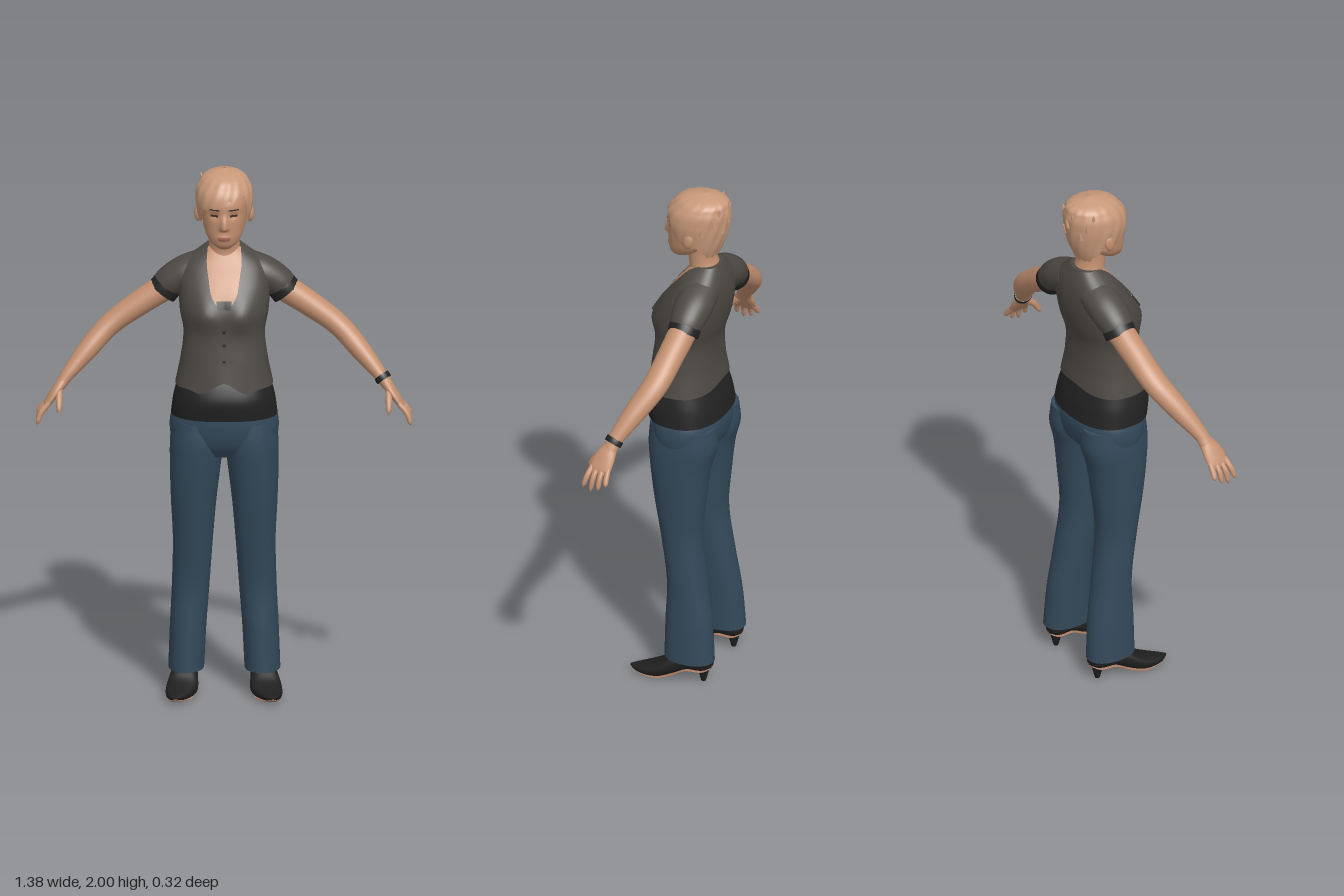
import * as THREE from 'three';

const mat = (name, color) => Object.assign(new THREE.MeshStandardMaterial({ color, side: THREE.DoubleSide }), { name });
const M = {
  skin: mat('skin', 0xc39070), hair: mat('hair', 0xc8997a), vest: mat('vest grey', 0x4d4944),
  black: mat('black cloth', 0x222222), jeans: mat('denim', 0x34495a), shoe: mat('shoe leather', 0x1f1f20),
  sole: mat('sole', 0xa97c60), lips: mat('lips', 0xa8685a), eye: mat('eyes', 0x40302a),
};
const gauss = (d, s) => Math.exp(-(d * d) / (s * s));
const sstep = THREE.MathUtils.smoothstep, lerp = THREE.MathUtils.lerp;

// Smooth interpolation of rows [key, ...values]
function table(rows) {
  const n = rows[0].length - 1;
  const it = new THREE.CubicInterpolant(rows.map(r => r[0]), rows.flatMap(r => r.slice(1)), n, new Array(n));
  return k => Array.from(it.evaluate(k));
}

// Grid of points fn(row, col); closed joins the last column to the first
function grid(rows, cols, closed, fn) {
  const pos = [], idx = [], span = closed ? cols : cols - 1;
  for (let i = 0; i < rows; i++) for (let j = 0; j < cols; j++) pos.push(...fn(i, j).toArray());
  for (let i = 0; i < rows - 1; i++) for (let j = 0; j < span; j++) {
    const a = i * cols + j, d = i * cols + (j + 1) % cols;
    idx.push(a, a + cols, d, a + cols, d + cols, d);
  }
  const g = new THREE.BufferGeometry();
  g.setAttribute('position', new THREE.Float32BufferAttribute(pos, 3));
  g.setIndex(idx);
  g.computeVertexNormals();
  return g;
}

// Body surface from rows [y, centreX, halfWidth, zFront, zBack], with optional front relief
function surface(rows, p = 1, bump = () => 0) {
  const t = table(rows), pw = v => Math.sign(v) * Math.abs(v) ** p;
  return {
    centre(y) { const [x, , f, b] = t(y); return new THREE.Vector3(x, y, (f + b) / 2); },
    at(a, y) {
      const [cx, w, f, b] = t(y), c = Math.cos(a), s = Math.sin(a), x = w * pw(c);
      return new THREE.Vector3(cx + x, y, (f + b) / 2 + (f - b) / 2 * pw(s) + (s > 0 ? s * bump(x, y) : 0));
    },
    front(x, y, off) {
      const w = t(y)[1], u = THREE.MathUtils.clamp(x / w, -0.98, 0.98);
      const v = this.at(Math.acos(Math.sign(u) * Math.abs(u) ** (1 / p)), y);
      v.z += off; v.x *= 1 + off;
      return v;
    },
  };
}

// Capped loft of a surface; doubled end rings keep the caps crisp
function loft(s, y0, y1, rows, cols, warp = v => v) {
  return grid(rows + 4, cols, true, (i, j) => {
    const k = THREE.MathUtils.clamp(i - 2, 0, rows - 1), y = lerp(y0, y1, k / (rows - 1));
    return warp(i === 0 || i === rows + 3 ? s.centre(y) : s.at(j / cols * Math.PI * 2, y));
  });
}

// Thin facing laid on the front of a surface between two x limits
const patch = (s, y0, y1, xa, xb, off, rows = 24, cols = 16) => grid(rows, cols, false, (i, j) => {
  const y = lerp(y0, y1, i / (rows - 1));
  return s.front(lerp(xb(y), xa(y), j / (cols - 1)), y, off);
});

// Tube through rows [x, y, z, radiusAcross, radiusZ], with flat or rounded end
function sweep(rows, n = 24, cols = 20, round = false) {
  const curve = new THREE.CatmullRomCurve3(rows.map(r => new THREE.Vector3(r[0], r[1], r[2])));
  const rad = table(rows.map((r, i) => [i / (rows.length - 1), r[3], r[4]])), Z = new THREE.Vector3(0, 0, 1);
  return grid(n + 4, cols, true, (i, j) => {
    const k = THREE.MathUtils.clamp(i - 2, 0, n - 1) / (n - 1), P = curve.getPoint(k);
    if (i === 0 || i === n + 3) return P;
    const T = curve.getTangent(k), B = T.clone().cross(Z).normalize(), N = B.clone().cross(T);
    const f = round ? Math.sqrt(Math.max(0.04, 1 - Math.max(0, (k - 0.8) / 0.2) ** 2)) : 1;
    const [ra, rz] = rad(k), a = j / cols * Math.PI * 2;
    return P.addScaledVector(B, ra * f * Math.cos(a)).addScaledVector(N, rz * f * Math.sin(a));
  });
}

function mirror(geo) {
  const g = geo.clone().scale(-1, 1, 1), ix = g.index.array;
  for (let i = 0; i < ix.length; i += 3) [ix[i], ix[i + 1]] = [ix[i + 1], ix[i]];
  return g;
}

export function createModel() {
  const root = new THREE.Group();
  const add = (name, geo, m) => {
    const mesh = new THREE.Mesh(geo, m);
    mesh.name = name;
    root.add(mesh);
    return mesh;
  };
  const pair = (name, geo, m) => { add(name + 'Left', geo, m); add(name + 'Right', mirror(geo), m); };

  // Waistcoat with a wavy hem
  const torso = surface([
    [1.2, 0, 0.18, 0.146, -0.122], [1.3, 0, 0.16, 0.134, -0.11], [1.4, 0, 0.15, 0.122, -0.112],
    [1.48, 0, 0.164, 0.118, -0.134], [1.55, 0, 0.166, 0.095, -0.146], [1.6, 0, 0.162, 0.062, -0.147],
    [1.65, 0, 0.142, 0.022, -0.141], [1.69, 0, 0.09, -0.008, -0.128], [1.712, 0, 0.06, -0.025, -0.118],
  ], 0.85, (x, y) => 0.02 * gauss(Math.abs(x) - 0.072, 0.05) * gauss(y - 1.475, 0.055));
  add('waistcoat', loft(torso, 1.2, 1.712, 60, 72, v => {
    const wave = v.z > 0 ? 0.03 * gauss(v.x, 0.04) - 0.014 * gauss(Math.abs(v.x) - 0.085, 0.03) : 0.018 * gauss(v.x, 0.09);
    v.y += wave * Math.max(0, (1.3 - v.y) / 0.1);
    return v;
  }), M.vest);

  // Neckline, top trim, lapels and buttons
  const neckT = table([[1.44, 0.002], [1.515, 0.026], [1.55, 0.046], [1.6, 0.056], [1.66, 0.064], [1.705, 0.06]]);
  const lapT = table([[1.44, 0.006], [1.5, 0.066], [1.58, 0.094], [1.66, 0.102], [1.705, 0.076]]);
  const neckline = y => neckT(y)[0], lapel = y => lapT(y)[0];
  add('chest', patch(torso, 1.515, 1.705, y => -neckline(y), neckline, 0.004), M.skin);
  add('topTrim', patch(torso, 1.505, 1.535, () => -0.027, () => 0.027, 0.006, 6), M.black);
  pair('lapel', patch(torso, 1.44, 1.705, neckline, lapel, 0.007), M.vest);
  for (const y of [1.31, 1.37, 1.42]) {
    add('button', patch(torso, y - 0.005, y + 0.005, () => -0.005, () => 0.005, 0.004, 3, 3), M.black);
  }

  // Undershirt below the waistcoat
  add('undershirt', loft(surface([
    [1.08, 0, 0.196, 0.142, -0.144], [1.15, 0, 0.187, 0.152, -0.132], [1.2, 0, 0.174, 0.14, -0.116], [1.27, 0, 0.15, 0.11, -0.095],
  ], 0.85), 1.082, 1.27, 14, 64), M.black);

  // Jeans
  add('jeansHips', loft(surface([
    [0.93, 0, 0.13, 0.085, -0.09], [0.97, 0, 0.185, 0.11, -0.125], [1.02, 0, 0.2, 0.124, -0.138],
    [1.07, 0, 0.197, 0.128, -0.138], [1.12, 0, 0.18, 0.125, -0.12],
  ], 0.85), 0.93, 1.12, 16, 64), M.jeans);
  pair('jeansLeg', loft(surface([
    [0.09, 0.14, 0.066, 0.042, -0.15], [0.25, 0.133, 0.067, 0.04, -0.138], [0.4, 0.124, 0.069, 0.037, -0.114],
    [0.6, 0.115, 0.074, 0.066, -0.09], [0.75, 0.112, 0.084, 0.092, -0.102], [0.9, 0.105, 0.095, 0.113, -0.122],
    [0.98, 0.1, 0.099, 0.12, -0.143], [1.06, 0.098, 0.092, 0.115, -0.138],
  ], 0.92), 0.09, 1.06, 50, 40), M.jeans);

  // Heeled shoes, lofted from heel to toe: [z, centreX, halfWidth, top, bottom]
  const shoe = [
    [-0.14, 0.134, 0.02, 0.095, 0.062], [-0.12, 0.136, 0.038, 0.11, 0.052], [-0.05, 0.142, 0.046, 0.115, 0.046],
    [0, 0.148, 0.052, 0.1, 0.022], [0.05, 0.155, 0.058, 0.066, 0.005], [0.1, 0.167, 0.046, 0.046, 0.005],
    [0.14, 0.176, 0.026, 0.036, 0.013], [0.165, 0.18, 0.005, 0.03, 0.024],
  ];
  const alongZ = rows => loft(surface(rows.map(([z, x, w, t, b]) => [z, x, w, -b, -t]), 0.8), -0.14, 0.165, 36, 32).rotateX(Math.PI / 2);
  pair('shoe', alongZ(shoe), M.shoe);
  pair('sole', alongZ(shoe.map(([z, x, w, , b]) => [z, x, w * 0.78, b + 0.003, b - 0.004])), M.sole);
  pair('heel', new THREE.CylinderGeometry(0.026, 0.009, 0.065, 16).translate(0.135, 0.0325, -0.108), M.shoe);

  // Sleeves, cuffs and arms
  pair('sleeve', sweep([
    [0.07, 1.625, -0.07, 0.062, 0.07], [0.145, 1.593, -0.07, 0.064, 0.072], [0.198, 1.56, -0.069, 0.059, 0.064], [0.216, 1.54, -0.068, 0.056, 0.058],
  ], 24, 32), M.vest);
  pair('cuff', sweep([[0.2, 1.557, -0.069, 0.056, 0.056], [0.213, 1.542, -0.068, 0.058, 0.06], [0.23, 1.521, -0.067, 0.058, 0.058]], 8, 32), M.black);
  pair('arm', sweep([
    [0.15, 1.585, -0.07, 0.05, 0.05], [0.22, 1.538, -0.067, 0.05, 0.052], [0.32, 1.474, -0.058, 0.046, 0.05],
    [0.42, 1.402, -0.042, 0.041, 0.048], [0.505, 1.315, 0.005, 0.037, 0.041], [0.58, 1.23, 0.05, 0.024, 0.028], [0.602, 1.2, 0.06, 0.021, 0.028],
  ], 48, 28), M.skin);
  add('bracelet', sweep([[0.577, 1.236, 0.048, 0.029, 0.033], [0.583, 1.228, 0.051, 0.03, 0.034], [0.589, 1.22, 0.054, 0.029, 0.033]], 6, 28), M.black);

  // Hands
  pair('palm', sweep([[0.592, 1.213, 0.057, 0.02, 0.026], [0.622, 1.175, 0.07, 0.018, 0.04], [0.65, 1.135, 0.078, 0.013, 0.042], [0.658, 1.122, 0.079, 0.008, 0.036]], 16, 24), M.skin);
  const tips = [1.09, 1.068, 1.058, 1.07];
  tips.forEach((y, i) => {
    const z = 0.047 + 0.021 * i, zt = 0.04 + 0.03 * i;
    pair('finger', sweep([[0.642, 1.145, z, 0.01, 0.01], [0.672, 1.11, (z + zt) / 2, 0.0105, 0.0105], [0.687, y, zt, 0.008, 0.008]], 14, 12, true), M.skin);
  });
  pair('thumb', sweep([[0.605, 1.19, 0.078, 0.013, 0.015], [0.606, 1.155, 0.116, 0.012, 0.012], [0.606, 1.114, 0.142, 0.009, 0.009]], 14, 12, true), M.skin);

  // Neck and head with nose, sockets and mouth relief
  add('neck', loft(surface([
    [1.62, 0, 0.08, 0.03, -0.12], [1.68, 0, 0.063, 0.004, -0.116], [1.73, 0, 0.055, 0.008, -0.1], [1.81, 0, 0.056, 0.02, -0.1],
  ]), 1.62, 1.81, 16, 40), M.skin);
  const head = surface([
    [1.722, 0, 0.022, 0.066, 0.02], [1.735, 0, 0.041, 0.078, -0.005], [1.76, 0, 0.062, 0.084, -0.05], [1.8, 0, 0.077, 0.087, -0.1],
    [1.85, 0, 0.085, 0.088, -0.12], [1.9, 0, 0.088, 0.085, -0.13], [1.95, 0, 0.076, 0.052, -0.125], [1.98, 0, 0.045, 0.01, -0.1],
  ], 0.94, (x, y) => 0.022 * gauss(x, 0.013) * sstep(y, 1.793, 1.806) * (1 - sstep(y, 1.806, 1.872))
    - 0.008 * gauss(Math.abs(x) - 0.035, 0.018) * gauss(y - 1.853, 0.014) + 0.005 * gauss(x, 0.025) * gauss(y - 1.767, 0.012));
  add('head', loft(head, 1.722, 1.98, 70, 110), M.skin);
  pair('eye', patch(head, 1.849, 1.857, () => 0.022, () => 0.049, 0.002, 4, 8), M.eye);
  pair('brow', patch(head, 1.874, 1.879, () => 0.016, () => 0.054, 0.003, 4, 8), M.eye);
  add('lips', patch(head, 1.759, 1.773, y => -0.026 + Math.abs(y - 1.766), y => 0.026 - Math.abs(y - 1.766), 0.002, 6, 12), M.lips);
  pair('ear', new THREE.SphereGeometry(1, 16, 12).scale(0.013, 0.032, 0.02).rotateX(-0.2).translate(0.097, 1.836, -0.028), M.skin);

  // Short hair with a swept fringe and wavy locks
  const hair = surface([
    [1.72, 0, 0.055, 0, -0.09], [1.78, 0, 0.084, 0.04, -0.118], [1.84, 0, 0.099, 0.085, -0.138], [1.9, 0, 0.105, 0.094, -0.148],
    [1.95, 0, 0.094, 0.07, -0.147], [1.985, 0, 0.058, 0.022, -0.122], [2.0, 0, 0.004, -0.045, -0.055],
  ]);
  add('hair', grid(36, 120, true, (i, j) => {
    const a = j / 120 * Math.PI * 2, s = Math.sin(a), t = Math.sin(i / 35 * Math.PI / 2);
    const low = 1.81 - 0.055 * sstep(-s, 0.1, 0.8), fringe = 1.898 + 0.028 * Math.cos(a) / 0.7;
    const y = lerp(lerp(low, fringe, sstep(s, 0.4, 0.75)) + 0.006 * Math.sin(a * 19), 2, t);
    const v = hair.at(a, y), c = hair.centre(y), k = 1 + 0.012 * Math.sin(a * 15 + y * 45);
    return v.set(v.x * k, y, c.z + (v.z - c.z) * k);
  }), M.hair);

  // Loose tufts at the back of the crown
  for (let i = 0; i < 9; i++) {
    const a = Math.PI * (1.15 + 0.7 * i / 8), y = 1.955 - 0.035 * (i % 3);
    const tuft = add('hairTuft', new THREE.ConeGeometry(0.012, 0.04, 8), M.hair);
    tuft.position.copy(hair.at(a, y));
    tuft.quaternion.setFromUnitVectors(new THREE.Vector3(0, 1, 0), new THREE.Vector3(Math.cos(a) * 0.4, 1, Math.sin(a) * 0.4).normalize());
  }
  return root;
}
